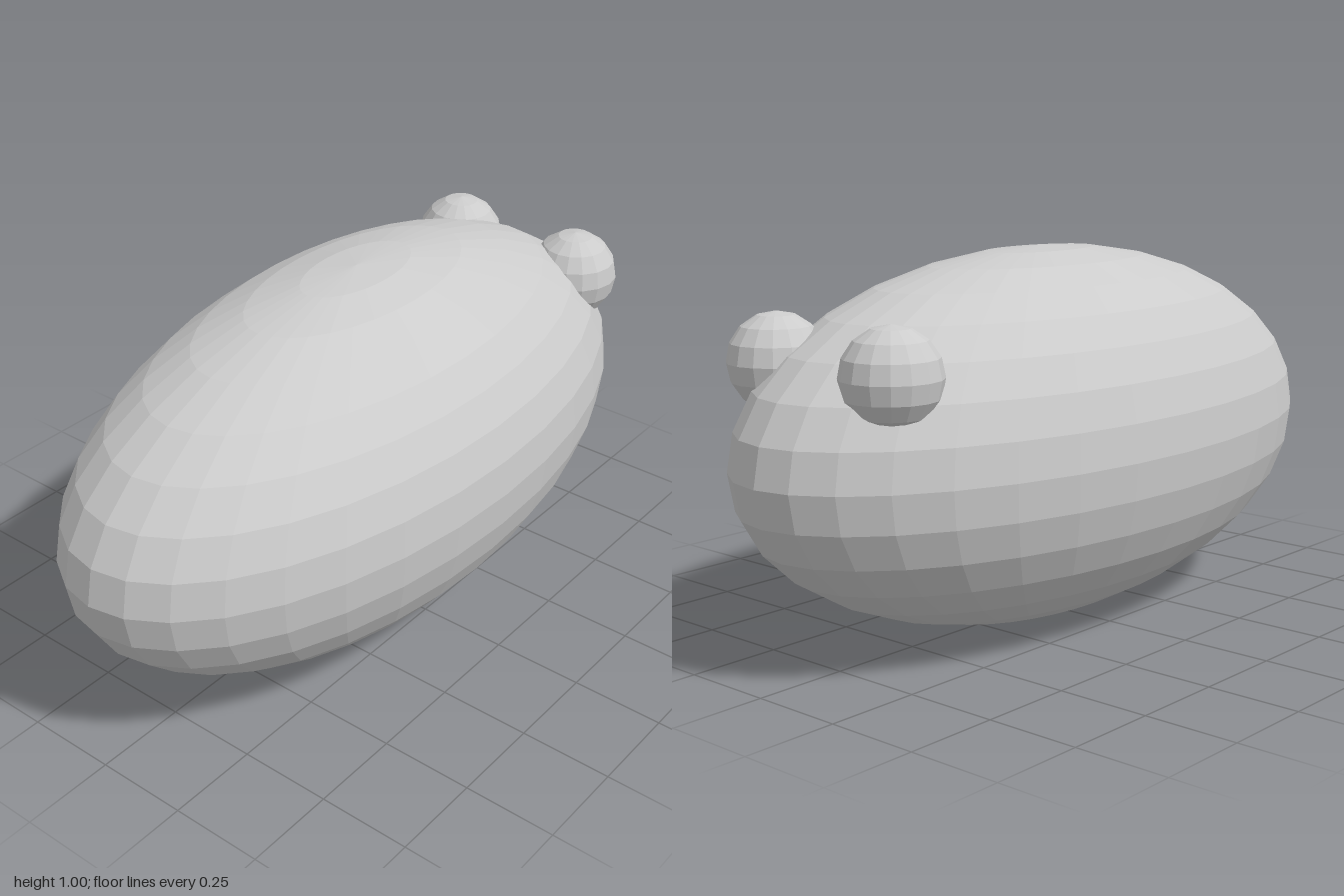
import * as THREE from 'three';

export function createModel() {
  const model = new THREE.Group();
  const material = new THREE.MeshStandardMaterial({ color: 0xcccccc, flatShading: true });

  // Body: a faceted sphere stretched to twice its length along x
  const bodyGeometry = new THREE.SphereGeometry(0.5, 32, 16);
  bodyGeometry.scale(2, 1, 1);
  const body = new THREE.Mesh(bodyGeometry, material);
  body.name = 'body';
  body.position.y = 0.5;
  model.add(body);

  // Eyes: a mirrored pair of small spheres partly sunk into the +x end
  const eyeGeometry = new THREE.SphereGeometry(0.125, 16, 8);
  for (const side of [1, -1]) {
    const eye = new THREE.Mesh(eyeGeometry, material);
    eye.name = side > 0 ? 'frontEye' : 'backEye';
    eye.position.set(0.75, 0.75, 0.2 * side);
    model.add(eye);
  }

  return model;
}
